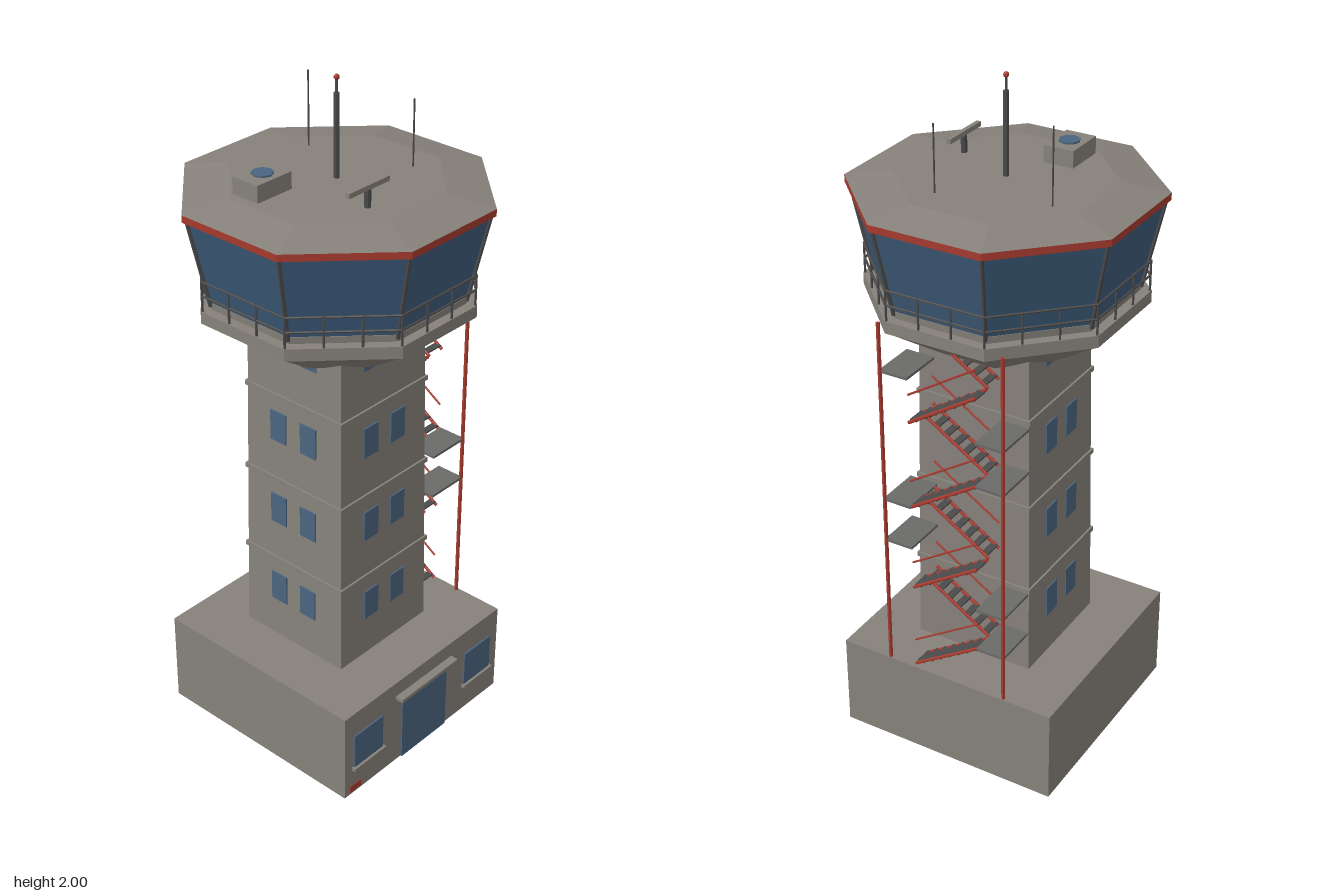
import * as THREE from 'three';

const mat = (name, color, flat = true) => {
  const m = new THREE.MeshStandardMaterial({ color, flatShading: flat });
  m.name = name;
  return m;
};

export function createModel() {
  const concrete = mat('concrete', 0x86817a);
  const glass = mat('window glass', 0x4a6580);
  const cabGlass = mat('cab glass', 0x3c5a78);
  const red = mat('signal red', 0xa63a2e);
  const dark = mat('dark metal', 0x4a4a4a);
  const grate = mat('landing grate', 0x6a6a68);

  const root = new THREE.Group();
  root.name = 'controlTower';
  const group = (name, parent = root) => {
    const g = new THREE.Group();
    g.name = name;
    parent.add(g);
    return g;
  };
  const add = (name, geo, material, parent, x = 0, y = 0, z = 0) => {
    const m = new THREE.Mesh(geo, material);
    m.name = name;
    m.position.set(x, y, z);
    parent.add(m);
    return m;
  };
  const box = (name, w, h, d, material, parent, x, y, z) =>
    add(name, new THREE.BoxGeometry(w, h, d), material, parent, x, y, z);
  // Upright prism with flat sides facing the axes, sized by half-width
  const prism = (name, sides, bottom, top, y0, y1, material, parent) => {
    const k = 1 / Math.cos(Math.PI / sides);
    const geo = new THREE.CylinderGeometry(top * k, bottom * k, y1 - y0, sides, 1, false, Math.PI / sides);
    return add(name, geo, material, parent, 0, (y0 + y1) / 2, 0);
  };
  // Straight round bar between two points
  const bar = (name, a, b, r, material, parent, sides = 6) => {
    const va = new THREE.Vector3(...a), vb = new THREE.Vector3(...b);
    const dir = vb.clone().sub(va);
    const m = add(name, new THREE.CylinderGeometry(r, r, dir.length(), sides), material, parent);
    m.position.copy(va).add(vb).multiplyScalar(0.5);
    m.quaternion.setFromUnitVectors(new THREE.Vector3(0, 1, 0), dir.normalize());
    return m;
  };
  const corner = (i, apothem, y) => {
    const a = Math.PI / 8 + i * Math.PI / 4, r = apothem / Math.cos(Math.PI / 8);
    return [Math.sin(a) * r, y, Math.cos(a) * r];
  };

  // Ground building with door and windows
  const base = group('groundBuilding');
  box('baseBlock', 0.69, 0.29, 0.69, concrete, base, 0, 0.145, 0);
  box('door', 0.2, 0.23, 0.008, glass, base, 0, 0.115, 0.346);
  box('doorCanopy', 0.25, 0.012, 0.03, concrete, base, 0, 0.235, 0.355);
  for (const s of [-1, 1]) {
    box('baseWindow', 0.122, 0.115, 0.008, glass, base, s * 0.247, 0.153, 0.346);
    box('windowSill', 0.135, 0.01, 0.016, concrete, base, s * 0.247, 0.092, 0.35);
  }
  box('redMark', 0.045, 0.022, 0.004, red, base, -0.3, 0.018, 0.345);

  // Tapered shaft with floor bands
  const shaft = group('shaft');
  const half = y => 0.186 - 0.0144 * (y - 0.29);
  prism('shaftBody', 4, half(0.28), half(1.3), 0.28, 1.3, concrete, shaft);
  for (const y of [0.563, 0.835, 1.107]) {
    prism('floorBand', 4, half(y) + 0.006, half(y) + 0.006, y - 0.007, y + 0.007, concrete, shaft);
  }

  // Paired windows on the three sides away from the stairs
  for (const turn of [0, Math.PI, -Math.PI / 2]) {
    const side = group('shaftWindows', shaft);
    side.rotation.y = turn;
    for (let i = 0; i < 4; i++) {
      const y = 0.463 + i * 0.273;
      for (const s of [-1, 1]) box('shaftWindow', 0.058, 0.095, 0.008, glass, side, s * 0.056, y, half(y));
    }
  }

  // Cab: flared underside, deck, sloped glass, roof
  const cab = group('cab');
  prism('underside', 8, 0.2, 0.36, 1.26, 1.375, concrete, cab);
  prism('deck', 8, 0.363, 0.363, 1.375, 1.41, concrete, cab);
  prism('cabSill', 8, 0.335, 0.337, 1.41, 1.43, concrete, cab);
  prism('cabGlazing', 8, 0.335, 0.388, 1.43, 1.68, cabGlass, cab);
  prism('roofRim', 8, 0.4, 0.4, 1.674, 1.694, red, cab);
  prism('roof', 8, 0.4, 0.28, 1.694, 1.716, concrete, cab);
  for (let i = 0; i < 8; i++) bar('mullion', corner(i, 0.336, 1.42), corner(i, 0.389, 1.68), 0.006, dark, cab);

  // Deck railing
  const railing = group('deckRailing');
  for (let i = 0; i < 8; i++) {
    const a = corner(i, 0.358, 0), b = corner(i + 1, 0.358, 0);
    for (const y of [1.455, 1.497]) bar('rail', [a[0], y, a[2]], [b[0], y, b[2]], 0.0035, dark, railing);
    for (let j = 0; j < 3; j++) {
      const t = j / 3, x = a[0] + (b[0] - a[0]) * t, z = a[2] + (b[2] - a[2]) * t;
      bar('railPost', [x, 1.41, z], [x, 1.5, z], 0.0035, dark, railing);
    }
  }

  // Roof equipment
  const gear = group('roofEquipment');
  bar('mast', [0, 1.71, 0], [0, 1.95, 0], 0.008, dark, gear, 8);
  bar('mastTip', [0, 1.95, 0], [0, 1.985, 0], 0.004, dark, gear);
  add('beacon', new THREE.SphereGeometry(0.008, 8, 6), red, gear, 0, 1.992, 0);
  bar('antenna', [0.108, 1.7, -0.2], [0.108, 1.93, -0.2], 0.0025, dark, gear);
  bar('antenna', [0.19, 1.7, 0.1], [0.19, 1.905, 0.1], 0.0025, dark, gear);
  bar('radarPost', [-0.082, 1.7, 0.18], [-0.082, 1.766, 0.18], 0.009, dark, gear, 8);
  box('radarBar', 0.153, 0.014, 0.013, concrete, gear, -0.082, 1.772, 0.18);
  box('coolingUnit', 0.125, 0.06, 0.09, concrete, gear, -0.192, 1.735, -0.083);
  add('coolingFan', new THREE.CylinderGeometry(0.03, 0.03, 0.006, 8), glass, gear, -0.19, 1.767, -0.083);

  // Outside stairs: flights alternate direction and lane
  const stairs = group('outsideStairs');
  const rise = 0.135, y0 = 0.295;
  for (let i = 0; i < 8; i++) {
    const dir = i % 2 ? 1 : -1, x = i % 2 ? 0.242 : 0.305;
    const low = y0 + i * rise, flight = group('flight', stairs);
    const top = i === 7 ? 0.75 : 1;
    const zAt = t => dir * (-0.105 + 0.21 * t), yAt = t => low + rise * t;
    for (const s of [-1, 1]) {
      const sx = x + s * 0.028;
      bar('stringer', [sx, yAt(0), zAt(0)], [sx, yAt(top), zAt(top)], 0.005, red, flight);
    }
    const hx = x + (i % 2 ? -0.028 : 0.028);
    bar('handrail', [hx, yAt(0) + 0.085, zAt(0)], [hx, yAt(top) + 0.085, zAt(top)], 0.003, red, flight);
    for (let j = 0; j < 7 * top; j++) {
      const t = (j + 0.5) / 7;
      box('tread', 0.056, 0.004, 0.022, dark, flight, x, yAt(t), zAt(t));
    }
  }
  // Landings come in pairs at each end
  [-1, -1, 1, 1, -1, -1, 1].forEach((s, i) =>
    box('landing', 0.135, 0.008, 0.088, grate, stairs, 0.271, y0 + (i + 1) * rise, s * 0.148));
  for (const z of [-0.19, 0.19]) bar('stairPost', [0.337, 0.285, z], [0.337, 1.385, z], 0.006, red, stairs);

  return root;
}
